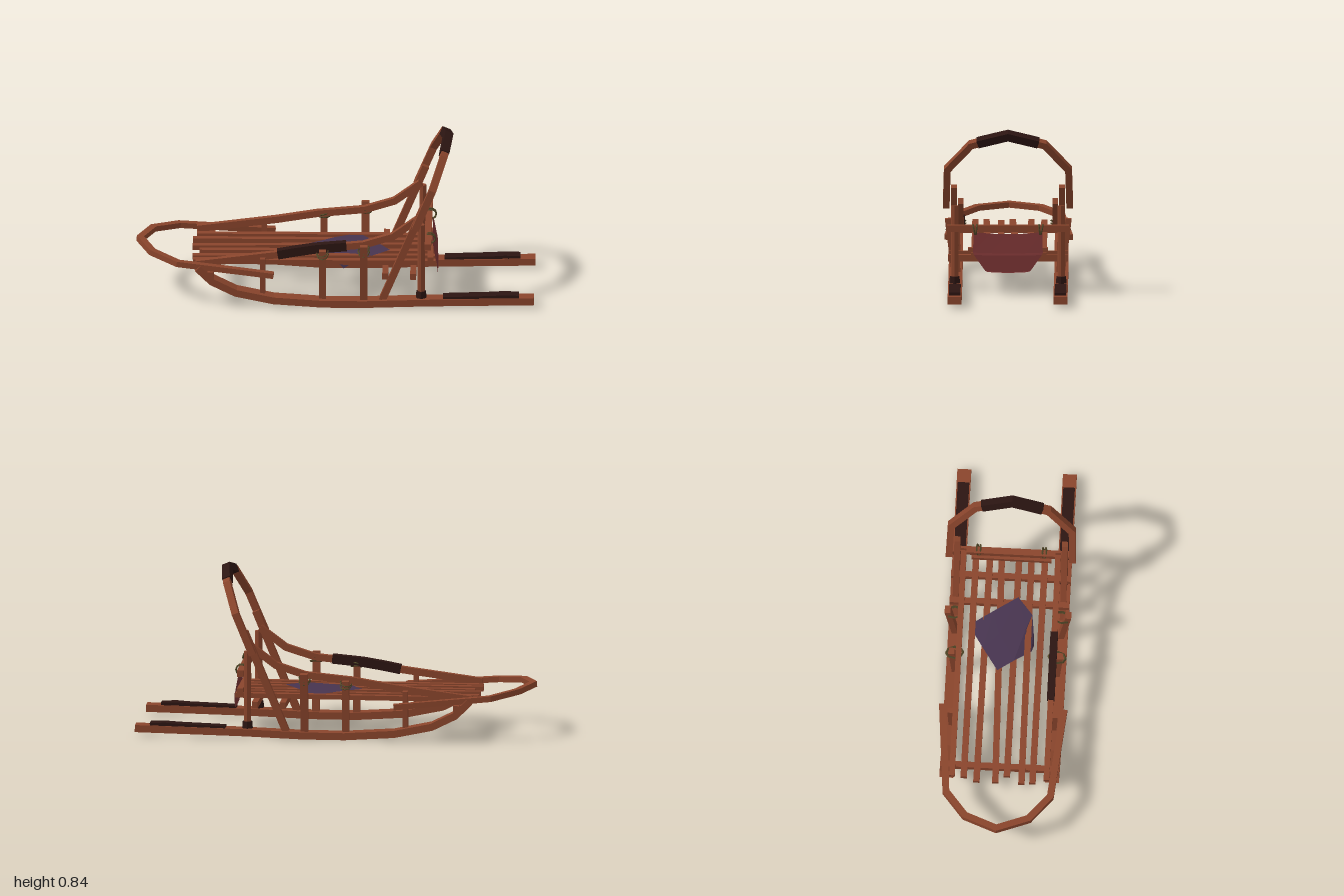
import * as THREE from 'three';

const material = (color, side = THREE.FrontSide) =>
  new THREE.MeshStandardMaterial({ color, flatShading: true, side });
const V = (p) => new THREE.Vector3(...p);

// Rectangular beam along a polyline with mitred joints.
// n: across direction, w: size along n, h: size at right angles to n.
function beamGeometry(path, n, w, h) {
  const pts = path.map(V), N0 = V(n).normalize(), pos = [], idx = [], last = pts.length - 1;
  const dir = (i) => pts[i + 1].clone().sub(pts[i]).normalize();
  pts.forEach((p, i) => {
    const a = dir(Math.max(i - 1, 0)), b = dir(Math.min(i, last - 1));
    const t = a.clone().add(b).normalize();
    const N = N0.clone().addScaledVector(t, -N0.dot(t)).normalize();
    const O = N.clone().cross(t).multiplyScalar(h / 2 / Math.max(0.5, t.dot(a)));
    for (const [o, k] of [[1, 1], [-1, 1], [-1, -1], [1, -1]]) {
      pos.push(...p.clone().addScaledVector(O, o).addScaledVector(N, k * w / 2).toArray());
    }
    if (i < last) {
      for (let j = 0; j < 4; j++) {
        const q = i * 4 + j, r = i * 4 + (j + 1) % 4;
        idx.push(q, r, r + 4, q, r + 4, q + 4);
      }
    }
  });
  const e = last * 4;
  idx.push(0, 2, 1, 0, 3, 2, e, e + 1, e + 2, e, e + 2, e + 3);
  const g = new THREE.BufferGeometry();
  g.setAttribute('position', new THREE.Float32BufferAttribute(pos, 3));
  g.setIndex(idx);
  g.computeVertexNormals();
  return g;
}

export function createModel() {
  const sled = new THREE.Group();
  sled.name = 'dogSled';
  const wood = material(0x8a452c), dark = material(0x2c1512), cord = material(0x4f4526);
  const red = material(0x7a3434, THREE.DoubleSide), purple = material(0x47344f, THREE.DoubleSide);

  const add = (name, geometry, mat = wood, at = [0, 0, 0]) => {
    const m = new THREE.Mesh(geometry, mat);
    m.name = name;
    m.position.set(...at);
    sled.add(m);
    return m;
  };
  const beam = (name, path, n, w, h, mat) => add(name, beamGeometry(path, n, w, h), mat);
  const box = (name, size, at, mat) => add(name, new THREE.BoxGeometry(...size), mat, at);
  const Y = [0, 1, 0], Z = [0, 0, 1];

  for (const s of [1, -1]) {
    const side = s > 0 ? 'Left' : 'Right';
    const inPlane = (z, list) => list.map(([x, y]) => [x, y, s * z]);

    // Runner, curling up at the nose, with a foot pad at the tail
    beam('runner' + side, inPlane(0.265, [[-0.69, 0.205], [-0.62, 0.135], [-0.5, 0.075],
      [-0.31, 0.035], [-0.06, 0.018], [0.15, 0.018], [0.45, 0.028], [0.995, 0.038]]), Z, 0.07, 0.036);
    beam('footPad' + side, inPlane(0.265, [[0.54, 0.05], [0.78, 0.058], [0.84, 0.062], [0.92, 0.06]]),
      Z, 0.058, 0.016, dark);

    // Upper side rail rising to the handle
    beam('sideRail' + side, inPlane(0.237, [[-0.7, 0.21], [-0.3, 0.262], [-0.1, 0.295],
      [0.14, 0.318], [0.29, 0.365], [0.42, 0.462]]), Z, 0.028, 0.034);

    // Upright posts: x, foot y, top y, foot z, top z, thickness
    for (const [x, y0, y1, z0, z1, w] of [[-0.365, 0.04, 0.25, 0.255, 0.262, 0.026],
      [-0.065, 0.025, 0.297, 0.255, 0.272, 0.034], [0.142, 0.025, 0.335, 0.265, 0.303, 0.038]]) {
      beam('post' + side, [[x, y0, s * z0], [x, y1, s * z1]], Z, 0.03, w);
    }

    // Rear upright with dark collar
    add('rearPost' + side, new THREE.CylinderGeometry(0.018, 0.018, 0.39, 8), wood, [0.43, 0.245, s * 0.267]);
    add('rearPostCollar' + side, new THREE.CylinderGeometry(0.024, 0.027, 0.035, 8), dark,
      [0.43, 0.065, s * 0.267]);

    // Slanted brace carrying the handle
    beam('handleBrace' + side, inPlane(0.27, [[0.235, 0.035], [0.445, 0.54]]), Z, 0.03, 0.036);

    // Cord lashings on posts and rear bar
    for (const [x, y, z] of [[-0.065, 0.27, 0.257], [0.142, 0.29, 0.268]]) {
      for (const k of [0, 1]) {
        const ring = add('lashing' + side, new THREE.TorusGeometry(0.034, 0.004, 4, 8), cord,
          [x, y + k * 0.014, s * z]);
        ring.rotation.set(Math.PI / 2 + s * 0.25, k * 0.25, 0);
        ring.scale.set(0.85, 1.3, 1);
      }
    }
    for (const k of [0, 1]) {
      const loop = add('bagCord' + side, new THREE.TorusGeometry(0.027, 0.004, 4, 10), cord,
        [0.472, 0.324, s * (0.158 + k * 0.012)]);
      loop.rotation.x = s * (k ? 0.2 : -0.1);
    }
  }

  // Brush bow around the nose
  const noseHalf = [[-0.31, 0.176, 0.305], [-0.79, 0.22, 0.262], [-0.92, 0.24, 0.16]];
  const mirror = (half, mid) => [...half, mid, ...half.map(([x, y, z]) => [x, y, -z]).reverse()];
  beam('brushBow', mirror(noseHalf, [-0.983, 0.248, 0]), [0.1, 1, 0], 0.028, 0.034);

  // Handle bow, lapped on the outside of the braces, with dark grip
  const lean = [-0.92, 0.39, 0];
  const handleHalf = [[0.4, 0.43, 0.31], [0.485, 0.633, 0.304], [0.539, 0.764, 0.185]];
  beam('handleBow', mirror(handleHalf, [0.56, 0.813, 0]), lean, 0.036, 0.034);
  beam('handleGrip', mirror([[0.543, 0.774, 0.152]], [0.56, 0.813, 0]), lean, 0.043, 0.042, dark);

  // Wrapped padding on the left rail
  beam('railWrap', [[-0.29, 0.264, 0.237], [-0.2, 0.281, 0.237], [-0.1, 0.297, 0.237], [0.055, 0.311, 0.237]],
    Z, 0.038, 0.046, dark);

  // Bed slats: front x, front z, rear z
  for (const [x, z0, z1] of [[-0.7, -0.178, -0.178], [-0.72, -0.113, -0.108], [-0.72, -0.018, -0.05],
    [-0.685, 0.038, 0.038], [-0.72, 0.113, 0.1], [-0.715, 0.168, 0.168]]) {
    beam('slat', [[x, 0.198, z0], [0.5, 0.198, z1]], Y, 0.024, 0.032);
  }

  // Cross bars below the bed, and the rear bar
  for (const x of [-0.625, 0.25, 0.39]) box('crossBar', [0.03, 0.032, 0.6], [x, 0.17, 0]);
  box('rearBar', [0.034, 0.032, 0.61], [0.463, 0.33, 0]);
  box('bedEndBar', [0.03, 0.025, 0.4], [0.475, 0.222, 0]);

  // Fabric surface from rows of points, all rows the same length
  const fabric = (name, rows, mat) => {
    const cols = rows[0].length, idx = [];
    for (let i = 0; i < rows.length - 1; i++) {
      for (let j = 0; j < cols - 1; j++) {
        const a = i * cols + j;
        idx.push(a, a + 1, a + cols + 1, a, a + cols + 1, a + cols);
      }
    }
    const g = new THREE.BufferGeometry();
    g.setAttribute('position', new THREE.Float32BufferAttribute(rows.flat(2), 3));
    g.setIndex(idx);
    g.computeVertexNormals();
    return add(name, g, mat);
  };

  // Brake mat hanging from the rear bar: x, y, half width, sag
  fabric('brakeMat', [[0.484, 0.313, 0.172, 0.01], [0.502, 0.212, 0.175, 0.004], [0.506, 0.2, 0.17, 0.002],
    [0.51, 0.12, 0.113, 0.007], [0.512, 0.115, 0.1, 0.004]].map(([x, y, w, sag]) =>
    [-1, -0.5, 0, 0.5, 1].map((k) => [x, y - sag * (1 - k * k), k * w])), red);

  // Cloth lying on the bed, one corner drooping between slats
  fabric('cloth', [
    [[-0.125, 0.213, -0.04], [-0.01, 0.213, -0.118], [0.11, 0.205, -0.195]],
    [[-0.07, 0.213, 0.04], [0.07, 0.215, -0.04], [0.19, 0.213, -0.075]],
    [[-0.01, 0.19, 0.125], [0.1, 0.213, 0.09], [0.27, 0.212, 0.045]],
    [[0.04, 0.147, 0.136], [0.1, 0.187, 0.131], [0.18, 0.21, 0.12]]], purple);

  return sled;
}
